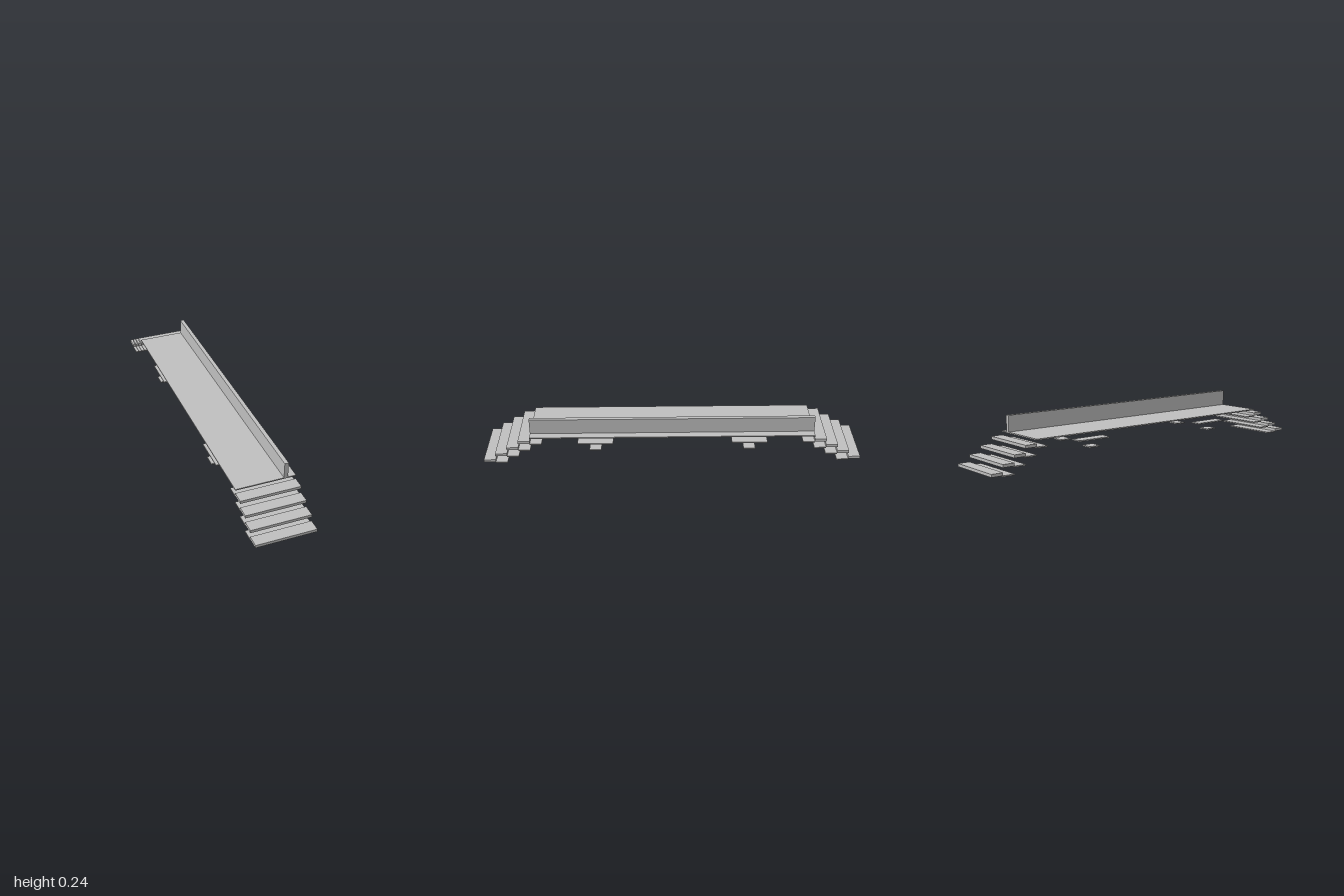
import * as THREE from 'three';

export function createModel() {
  const model = new THREE.Group();
  const concrete = new THREE.MeshStandardMaterial({ color: 0xbfbfbf });
  concrete.name = 'concreteGrey';

  // Box given by its minimum and maximum on each axis
  function slab(name, x0, x1, y0, y1, z0, z1, parent = model) {
    const mesh = new THREE.Mesh(new THREE.BoxGeometry(x1 - x0, y1 - y0, z1 - z0), concrete);
    mesh.position.set((x0 + x1) / 2, (y0 + y1) / 2, (z0 + z1) / 2);
    mesh.name = name;
    parent.add(mesh);
  }

  const halfWidth = 0.15625;
  const plate = 0.00625; // thickness of the thin plates
  const rise = 0.0375; // height between levels
  const run = 0.0625; // depth of one step
  const deckY = 4 * rise;

  // Deck with the dividing wall along its left side
  slab('deck', -halfWidth, halfWidth, deckY, deckY + plate, -0.75, 0.75);
  slab('wall', 0.0935, 0.1145, deckY + plate, 0.24, -0.75, 0.75);

  for (const end of [1, -1]) {
    // Stairs: each step is a thick tread with a thin plate behind and below it
    const stairs = new THREE.Group();
    stairs.name = end > 0 ? 'frontStairs' : 'backStairs';
    model.add(stairs);
    for (let i = 0; i < 4; i++) {
      const y = i * rise;
      const z = 1 - i * run;
      const span = (a, b) => (end > 0 ? [a, b] : [-b, -a]);
      slab('tread', -halfWidth, halfWidth, y + plate, y + 0.0217, ...span(z - run, z), stairs);
      slab('stepPlate', -halfWidth, halfWidth, y, y + plate, ...span(z - 2 * run, z - run), stairs);
    }

    // Stacked bracket plates under both edges of the deck
    for (const side of [1, -1]) {
      const bracket = new THREE.Group();
      bracket.name = 'bracket';
      model.add(bracket);
      const x = side * 0.125;
      const z = end * 0.40625;
      slab('upperBracketPlate', x - run / 2, x + run / 2, 3 * rise, 3 * rise + plate, z - 0.09375, z + 0.09375, bracket);
      slab('lowerBracketPlate', x - run / 2, x + run / 2, 2 * rise, 2 * rise + plate, z - run / 2, z + run / 2, bracket);
    }
  }
  return model;
}
